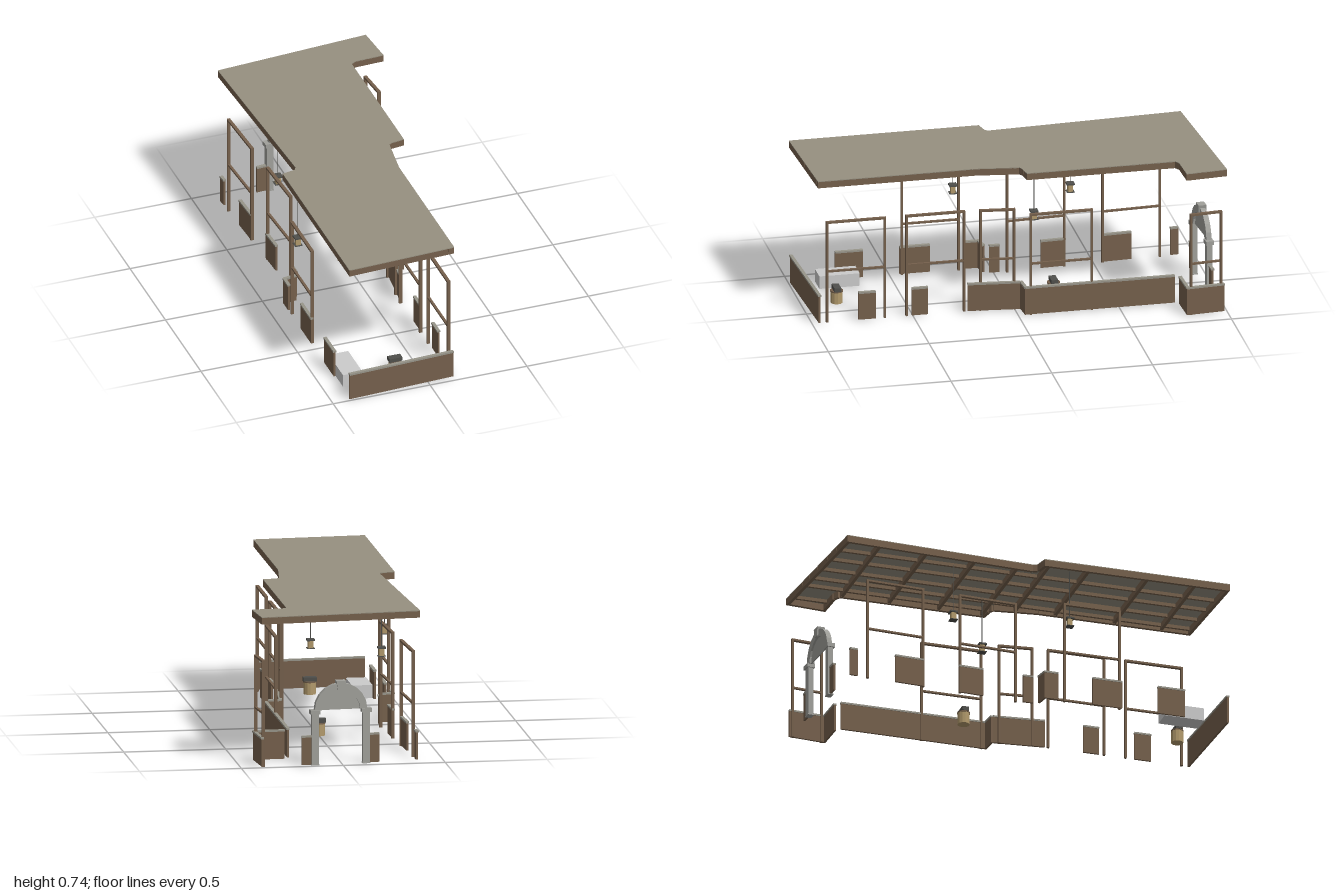
import * as THREE from 'three';

const mat = (color) => new THREE.MeshStandardMaterial({ color, flatShading: true, side: THREE.DoubleSide });
const timber = mat(0x75604c), cap = mat(0x98958a), sheet = mat(0x969080), stone = mat(0xa0a09b);
const tan = mat(0xb29a6c), dark = mat(0x50504c), grey = mat(0xcccccc);

// Roof outline as [x, z], starting at the back right corner
const outline = [
  [-0.386, -0.94], [0.4, -1], [0.417, -0.796], [0.27, -0.79], [0.245, -0.775], [0.245, -0.04],
  [0.18, -0.03], [0.163, -0.02], [0.135, 0.195], [0.135, 0.972], [-0.415, 0.997], [-0.415, 0.055],
  [-0.345, 0.04], [-0.337, 0.02],
];

function add(parent, name, geometry, material, x = 0, y = 0, z = 0) {
  const mesh = new THREE.Mesh(geometry, material);
  mesh.name = name;
  mesh.position.set(x, y, z);
  parent.add(mesh);
  return mesh;
}

// Upright bar running from a to b on the plan, between heights y0 and y1
function bar(parent, name, a, b, y0, y1, thick, material = timber) {
  const dx = b[0] - a[0], dz = b[1] - a[1];
  const mesh = add(parent, name, new THREE.BoxGeometry(Math.hypot(dx, dz), y1 - y0, thick), material,
    (a[0] + b[0]) / 2, (y0 + y1) / 2, (a[1] + b[1]) / 2);
  mesh.rotation.y = -Math.atan2(dz, dx);
}

// Where a line at a fixed x (axis 0) or z (axis 1) enters and leaves the outline
function span(axis, value) {
  const hits = [];
  outline.forEach((p, i) => {
    const q = outline[(i + 1) % outline.length];
    if ((p[axis] - value) * (q[axis] - value) < 0) {
      const t = (value - p[axis]) / (q[axis] - p[axis]);
      hits.push(p[1 - axis] + t * (q[1 - axis] - p[1 - axis]));
    }
  });
  return [Math.min(...hits), Math.max(...hits)];
}

function makeRoof() {
  const roof = new THREE.Group();
  roof.name = 'roof';
  const shape = new THREE.Shape(outline.map(([x, z]) => new THREE.Vector2(x, -z)));
  const slab = new THREE.ExtrudeGeometry(shape, { depth: 0.004, bevelEnabled: false });
  add(roof, 'roofSheet', slab.rotateX(-Math.PI / 2), sheet, 0, 0.739, 0);
  // Edge beams, set just inside the outline
  outline.forEach((p, i) => {
    const q = outline[(i + 1) % outline.length];
    const dx = q[0] - p[0], dz = q[1] - p[1], k = 0.008 / Math.hypot(dx, dz);
    bar(roof, 'edgeBeam', [p[0] - dz * k, p[1] + dx * k], [q[0] - dz * k, q[1] + dx * k], 0.707, 0.74, 0.016);
  });
  // Cross beams and lengthwise joists
  for (const z of [0.82, 0.58, 0.28, 0.08, -0.06, -0.28, -0.53, -0.77]) {
    const [x0, x1] = span(1, z);
    bar(roof, 'crossBeam', [x0 + 0.005, z], [x1 - 0.005, z], 0.709, 0.739, 0.016);
  }
  for (const x of [-0.235, -0.12, 0, 0.11, 0.2, 0.35]) {
    const [z0, z1] = span(0, x);
    bar(roof, 'joist', [x, z0 - 0.001], [x, z1 + 0.001], 0.722, 0.739, 0.013);
  }
  return roof;
}

// Open window frame: two posts, a top rail and a middle rail
function makeFrame(a, b) {
  const frame = new THREE.Group();
  frame.name = 'windowFrame';
  for (const p of [a, b]) add(frame, 'post', new THREE.BoxGeometry(0.016, 0.525, 0.01), timber, p[0], 0.2625, p[1]);
  bar(frame, 'topRail', a, b, 0.515, 0.525, 0.016);
  bar(frame, 'middleRail', a, b, 0.26, 0.269, 0.012);
  return frame;
}

// Low wall with a thin coping
function makeLowWall(a, b) {
  const wall = new THREE.Group();
  wall.name = 'lowWall';
  bar(wall, 'panel', a, b, 0.003, 0.138, 0.01);
  bar(wall, 'coping', a, b, 0.138, 0.147, 0.016, cap);
  return wall;
}

function makeArch() {
  const arch = new THREE.Group();
  arch.name = 'stoneArch';
  const base = 0.27, inner = 0.095, outer = 0.131, n = 10, depth = 0.026;
  const at = (r, t) => new THREE.Vector2(r * Math.cos(t), r * Math.sin(t));
  for (const s of [-1, 1]) {
    add(arch, 'pillar', new THREE.BoxGeometry(0.035, 0.255, 0.026), stone, s * 0.127, 0.1275, 0);
    add(arch, 'pillarFoot', new THREE.BoxGeometry(0.039, 0.005, 0.03), stone, s * 0.127, 0.0025, 0);
    add(arch, 'capital', new THREE.BoxGeometry(0.049, 0.02, 0.04), stone, s * 0.128, 0.263, 0);
  }
  // Wedge stones around the half circle
  for (let i = 0; i < n; i++) {
    const t0 = Math.PI * i / n, t1 = Math.PI * (i + 1) / n;
    const wedge = new THREE.Shape([at(inner, t0), at(outer, t0), at(outer, t1), at(inner, t1)]);
    add(arch, 'archStone', new THREE.ExtrudeGeometry(wedge, { depth, bevelEnabled: false }), stone, 0, base, -depth / 2);
  }
  // Infill panel and keystone
  const fill = new THREE.Shape();
  for (let i = 0; i <= n; i++) {
    const p = at(inner + 0.002, Math.PI * i / n);
    if (i) fill.lineTo(p.x, p.y); else fill.moveTo(p.x, p.y);
  }
  add(arch, 'archInfill', new THREE.ExtrudeGeometry(fill, { depth: 0.006, bevelEnabled: false }), stone, 0, base, -0.003);
  const key = new THREE.Shape([[-0.016, 0.096], [0.016, 0.096], [0.024, 0.143], [-0.024, 0.143]]
    .map(([x, y]) => new THREE.Vector2(x, y)));
  add(arch, 'keystone', new THREE.ExtrudeGeometry(key, { depth: 0.04, bevelEnabled: false }), stone, 0, base, -0.02);
  arch.position.set(0.0075, 0, -0.957);
  arch.rotation.y = 0.076;
  return arch;
}

function makeLantern(x, z) {
  const lantern = new THREE.Group();
  lantern.name = 'hangingLantern';
  add(lantern, 'cable', new THREE.CylinderGeometry(0.0018, 0.0018, 0.25, 6), dark, 0, 0.583, 0);
  add(lantern, 'lanternCap', new THREE.BoxGeometry(0.039, 0.008, 0.039), dark, 0, 0.454, 0);
  add(lantern, 'lanternBody', new THREE.BoxGeometry(0.024, 0.038, 0.024), tan, 0, 0.432, 0);
  add(lantern, 'lanternBase', new THREE.BoxGeometry(0.038, 0.003, 0.038), dark, 0, 0.4125, 0);
  lantern.position.set(x, 0, z);
  return lantern;
}

// Barrel with a small box standing on it
function makeBarrel(x, z) {
  const barrel = new THREE.Group();
  barrel.name = 'barrelStand';
  add(barrel, 'barrel', new THREE.CylinderGeometry(0.03, 0.03, 0.06, 12), tan, 0, 0.031, 0);
  add(barrel, 'barrelLid', new THREE.CylinderGeometry(0.032, 0.032, 0.006, 12), timber, 0, 0.062, 0);
  add(barrel, 'topBox', new THREE.BoxGeometry(0.066, 0.02, 0.034), dark, 0, 0.075, 0);
  barrel.position.set(x, 0, z);
  return barrel;
}

export function createModel() {
  const model = new THREE.Group();
  model.name = 'pavilion';
  model.add(makeRoof(), makeArch());

  // Window frames: left side, then right side
  const frames = [
    [[0.123, 0.925], [0.123, 0.638]], [[0.123, 0.53], [0.123, 0.245]], [[0.13, 0.165], [0.148, 0.002]],
    [[0.233, -0.062], [0.233, -0.365]], [[0.402, -0.82], [0.388, -0.972]],
    [[-0.403, 0.44], [-0.403, 0.158]], [[-0.329, -0.066], [-0.343, -0.353]], [[-0.354, -0.545], [-0.369, -0.832]],
  ];
  for (const [a, b] of frames) model.add(makeFrame(a, b));

  // Low walls: front, left side, back, right side
  const walls = [
    [[-0.413, 0.988], [0.133, 0.963]],
    [[0.129, 0.77], [0.129, 0.685]], [[0.129, 0.505], [0.129, 0.426]],
    [[0.131, 0.23], [0.158, -0.025]], [[0.155, -0.03], [0.242, -0.037]], [[0.236, -0.035], [0.236, -0.775]],
    [[0.257, -0.797], [0.41, -0.803]], [[0.408, -0.8], [0.394, -0.988]],
    [[0.148, -0.968], [0.2, -0.972]], [[-0.117, -0.948], [-0.185, -0.943]],
    [[-0.374, -0.925], [-0.371, -0.885]], [[-0.363, -0.69], [-0.356, -0.545]],
    [[-0.346, -0.36], [-0.34, -0.235]], [[-0.333, -0.03], [-0.333, 0.022]],
    [[-0.343, 0.048], [-0.412, 0.06]], [[-0.408, 0.055], [-0.408, 0.125]],
    [[-0.408, 0.3], [-0.408, 0.45]], [[-0.408, 0.632], [-0.408, 0.77]],
  ];
  for (const [a, b] of walls) model.add(makeLowWall(a, b));

  // Fittings
  model.add(makeLantern(-0.387, 0.19), makeLantern(-0.285, -0.37), makeLantern(0.025, -0.123));
  model.add(makeBarrel(-0.118, 0.825), makeBarrel(0, -0.225));
  add(model, 'bench', new THREE.BoxGeometry(0.1, 0.065, 0.2), grey, -0.352, 0.0335, 0.77);
  return model;
}
